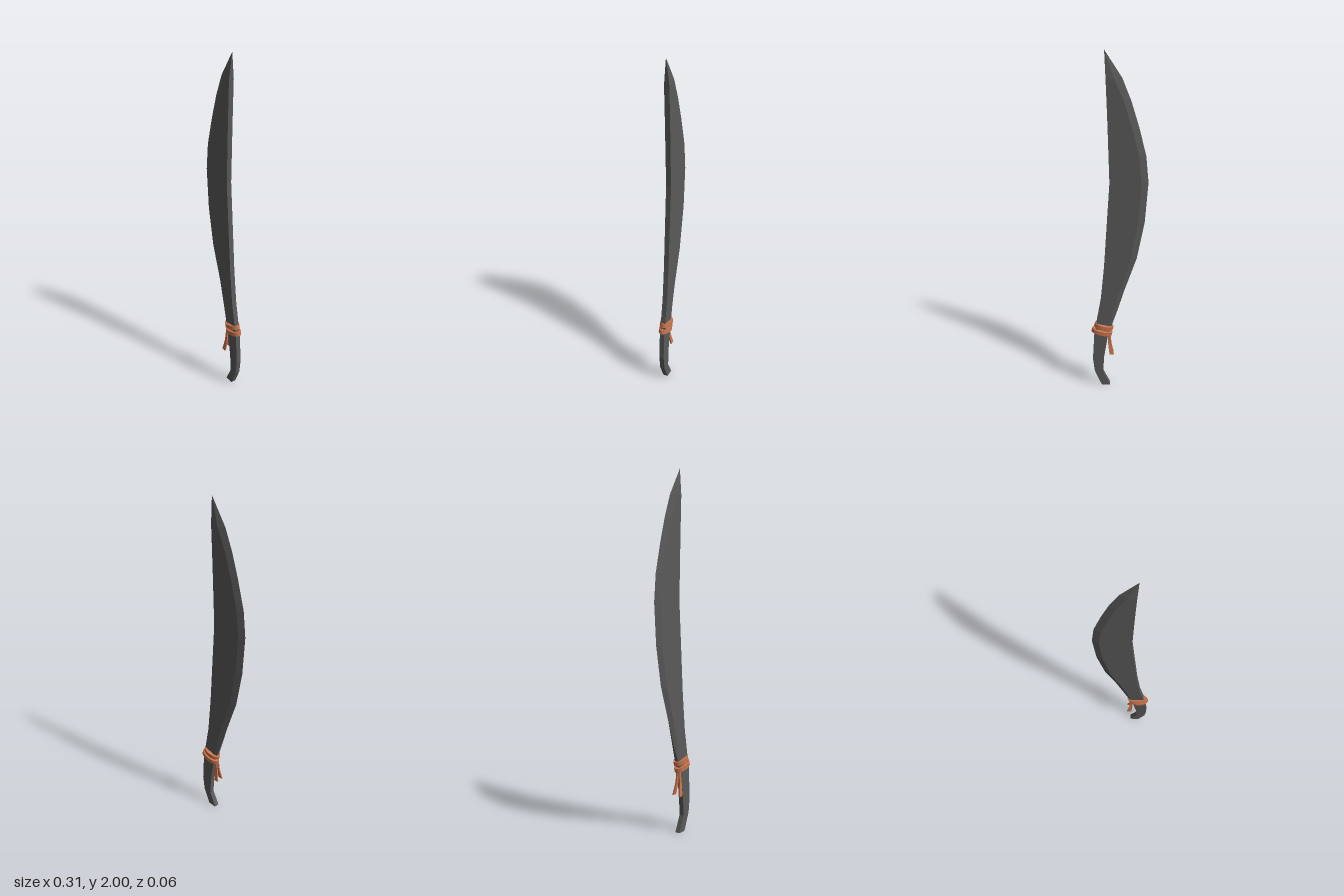
import * as THREE from 'three';

const steel = new THREE.MeshStandardMaterial({ color: 0x5a5a5a });
steel.name = 'dark steel';
const leather = new THREE.MeshStandardMaterial({ color: 0xc8744c });
leather.name = 'orange leather';

// Join equal-sized rings of points into a closed, flat-shaded skin
function loft(rings) {
  const pos = [];
  const tri = (a, b, c) => pos.push(...a, ...b, ...c);
  const n = rings[0].length;
  for (let i = 0; i < rings.length - 1; i++) {
    for (let j = 0; j < n; j++) {
      const k = (j + 1) % n;
      const [a, b, c, d] = [rings[i][j], rings[i][k], rings[i + 1][k], rings[i + 1][j]];
      tri(a, b, c);
      tri(a, c, d);
    }
  }
  const last = rings[rings.length - 1];
  for (let j = 1; j < n - 1; j++) {
    tri(rings[0][0], rings[0][j + 1], rings[0][j]);
    tri(last[0], last[j], last[j + 1]);
  }
  const geo = new THREE.BufferGeometry();
  geo.setAttribute('position', new THREE.Float32BufferAttribute(pos, 3));
  geo.computeVertexNormals();
  return geo;
}

// Blade and grip: edge x, edge y, spine x, spine y, bevel width, edge half thickness
const T = 0.014;
const rows = [
  [0.05, 0.0, 0.1, 0.0, 0.01, T],
  [0.09, 0.09, 0.14, 0.1, 0.01, T],
  [0.085, 0.2, 0.15, 0.19, 0.01, T],
  [0.06, 0.36, 0.14, 0.36, 0.012, T],
  [0.01, 0.51, 0.122, 0.46, 0.025, 0.005],
  [-0.035, 0.66, 0.1, 0.59, 0.034, 0],
  [-0.1, 0.86, 0.08, 0.8, 0.036, 0],
  [-0.14, 1.08, 0.062, 1.08, 0.036, 0],
  [-0.156, 1.31, 0.047, 1.31, 0.036, 0],
  [-0.142, 1.46, 0.051, 1.46, 0.036, 0],
  [-0.102, 1.62, 0.055, 1.62, 0.036, 0],
  [-0.063, 1.75, 0.059, 1.75, 0.036, 0],
  [-0.018, 1.865, 0.063, 1.865, 0.04, 0],
  [0.068, 2.0, 0.069, 2.0, 0.0005, 0],
];

function bladeRing([ex, ey, sx, sy, bevel, e], i) {
  const t = i === rows.length - 1 ? 0.0005 : T;
  const bx = ex + bevel;
  const by = ey + (sy - ey) * bevel / (sx - ex);
  return [[ex, ey, e], [bx, by, t], [sx, sy, t], [sx, sy, -t], [bx, by, -t], [ex, ey, -e]];
}

// Flat thong hanging from the binding, flaring towards its end
function thong(points) {
  const curve = new THREE.CatmullRomCurve3(points.map(p => new THREE.Vector3(...p)));
  const rings = [];
  for (let i = 6; i >= 0; i--) {
    const p = curve.getPoint(i / 6);
    const w = 0.005 + 0.008 * (i / 6);
    const d = 0.004;
    rings.push([[p.x - w, p.y, p.z + d], [p.x + w, p.y, p.z + d],
      [p.x + w, p.y, p.z - d], [p.x - w, p.y, p.z - d]]);
  }
  return loft(rings);
}

export function createModel() {
  const group = new THREE.Group();
  const add = (name, geo, mat) => {
    const mesh = new THREE.Mesh(geo, mat);
    mesh.name = name;
    group.add(mesh);
    return mesh;
  };

  add('bladeAndGrip', loft(rows.map(bladeRing)), steel);

  // Two slanted oval turns of binding
  [[0.084, 0.415, 0.055, 0.032], [0.095, 0.378, 0.06, 0.032]].forEach(([x, y, rx, rz], i) => {
    const geo = new THREE.CylinderGeometry(1, 1, 0.024, 20);
    geo.scale(rx, 1, rz);
    const band = add('binding' + (i + 1), geo, leather);
    band.position.set(x, y, -0.001);
    band.rotation.z = 0.24;
  });

  // Loose ends
  add('frontThong', thong([[0.052, 0.37, 0.012], [0.052, 0.29, 0.018], [0.043, 0.22, 0.027]]), leather);
  add('backThong', thong([[0.052, 0.37, 0.0], [0.05, 0.3, -0.003], [0.04, 0.225, -0.014]]), leather);

  return group;
}
